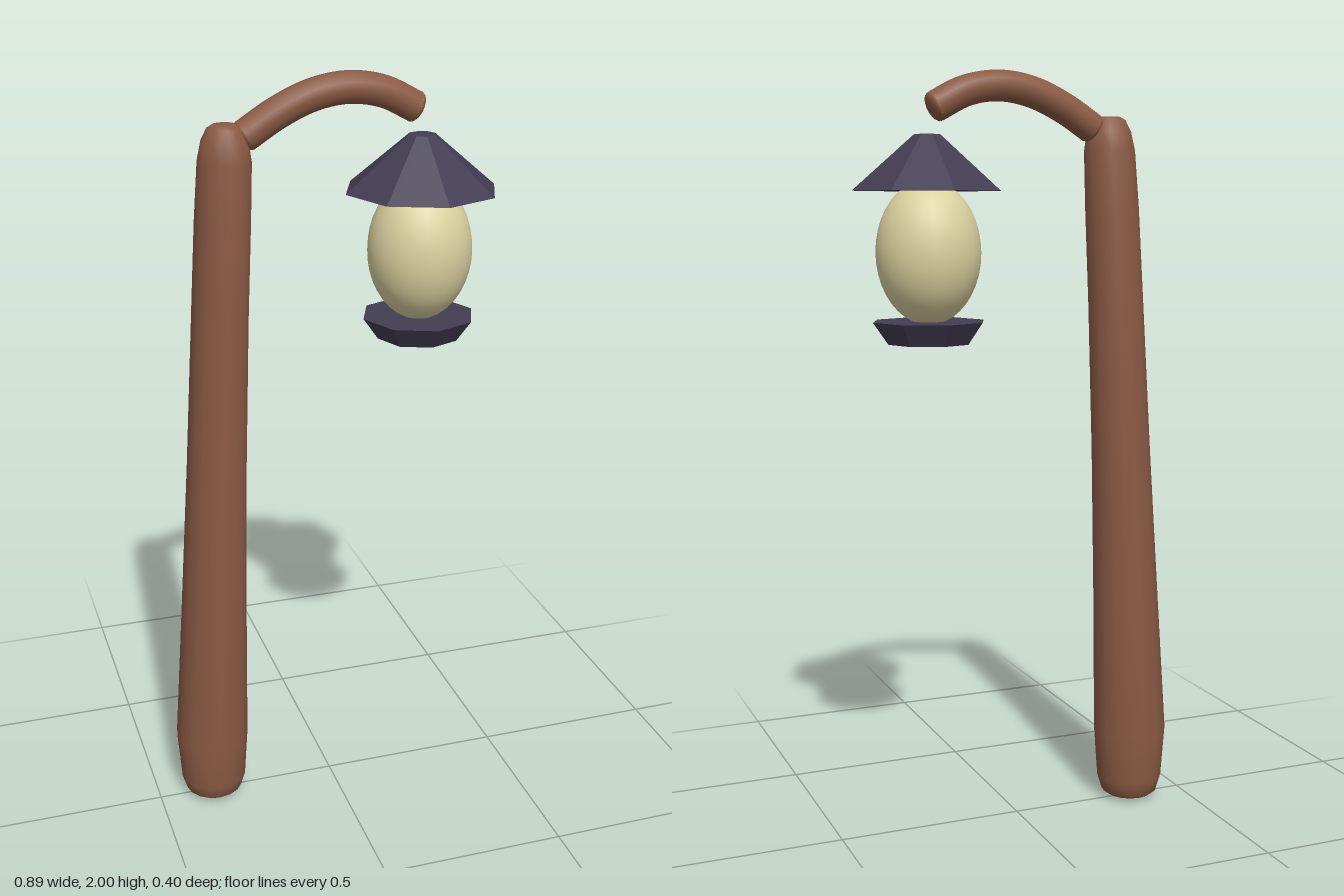
import * as THREE from 'three';

const wood = new THREE.MeshStandardMaterial({ color: 0x8b5a44 });
wood.name = 'brown wood';
const metal = new THREE.MeshStandardMaterial({ color: 0x433d53, flatShading: true });
metal.name = 'dark purple metal';
const glow = new THREE.MeshStandardMaterial({ color: 0xdbd29f });
glow.name = 'pale yellow glass';

function part(name, geometry, material, x = 0, y = 0, z = 0) {
  const mesh = new THREE.Mesh(geometry, material);
  mesh.name = name;
  mesh.position.set(x, y, z);
  return mesh;
}

// Leaning post: each ring is [height, centre x, half width in x, half width in z]
function postGeometry() {
  const rings = [
    [0, -0.345, 0, 0], [0.01, -0.345, 0.065, 0.065], [0.02, -0.345, 0.078, 0.078],
    [0.06, -0.345, 0.09, 0.09], [0.2, -0.345, 0.1, 0.1], [0.6, -0.327, 0.088, 0.095],
    [1.0, -0.308, 0.078, 0.089], [1.4, -0.288, 0.072, 0.084], [1.65, -0.274, 0.07, 0.079],
    [1.8, -0.265, 0.067, 0.07], [1.85, -0.263, 0.058, 0.059], [1.88, -0.263, 0.043, 0.043],
    [1.888, -0.263, 0.03, 0.03], [1.89, -0.263, 0, 0],
  ];
  const sides = 16;
  const geo = new THREE.LatheGeometry(rings.map(r => new THREE.Vector2(r[3], r[0])), sides);
  const pos = geo.attributes.position;
  for (let i = 0; i < pos.count; i++) {
    const [, cx, rx, rz] = rings[i % rings.length];
    pos.setX(i, cx + (rz ? pos.getX(i) * rx / rz : 0));
  }
  return geo;
}

export function createModel() {
  const model = new THREE.Group();
  model.name = 'lanternPost';
  model.add(part('post', postGeometry(), wood));

  // Curved arm with rounded ends
  const path = new THREE.CatmullRomCurve3([
    [-0.213, 1.858], [-0.13, 1.909], [-0.04, 1.947], [0.05, 1.96], [0.14, 1.945], [0.222, 1.904],
  ].map(([x, y]) => new THREE.Vector3(x, y, 0)));
  const arm = new THREE.Group();
  arm.name = 'arm';
  arm.add(part('armBranch', new THREE.TubeGeometry(path, 28, 0.04, 14), wood));
  for (const [name, t, sign] of [['armRoot', 0, -1], ['armTip', 1, 1]]) {
    const cap = part(name, new THREE.SphereGeometry(0.04, 14, 5, 0, Math.PI * 2, 0, Math.PI / 2), wood);
    cap.position.copy(path.getPoint(t));
    cap.scale.y = 0.45;
    cap.quaternion.setFromUnitVectors(new THREE.Vector3(0, 1, 0), path.getTangent(t).multiplyScalar(sign));
    arm.add(cap);
  }
  model.add(arm);

  // Lantern floating below the arm tip
  const lantern = new THREE.Group();
  lantern.name = 'lantern';
  lantern.position.x = 0.243;
  const globe = part('globe', new THREE.SphereGeometry(0.135, 28, 20), glow, 0, 1.54);
  globe.scale.y = 1.36;
  lantern.add(
    globe,
    part('roof', new THREE.CylinderGeometry(0.035, 0.2, 0.14, 8), metal, 0, 1.765),
    part('base', new THREE.CylinderGeometry(0.15, 0.11, 0.057, 8), metal, 0, 1.337),
  );
  model.add(lantern);
  return model;
}
